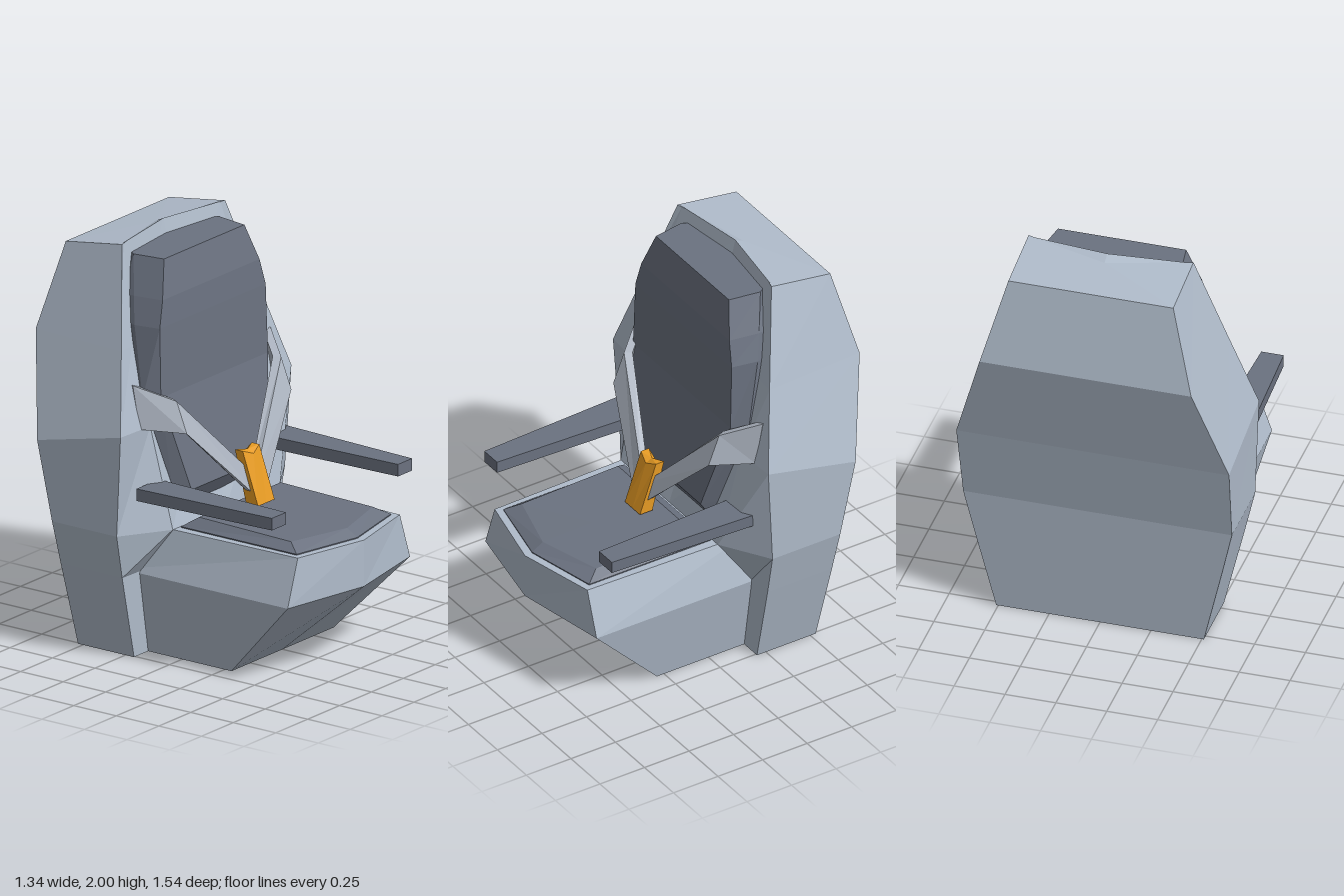
import * as THREE from 'three';

const flat = (color, name) => {
  const m = new THREE.MeshStandardMaterial({ color });
  m.name = name;
  return m;
};

// Faceted solid through rings of equal point count, closed by a fan at each end.
// Rings run counter-clockwise when seen from the last ring.
function loft(name, rings, material) {
  const pos = [];
  const tri = (a, b, c) => pos.push(...a, ...b, ...c);
  const n = rings[0].length;
  const centre = r => [0, 1, 2].map(k => r.reduce((s, p) => s + p[k], 0) / n);
  const first = rings[0], last = rings[rings.length - 1];
  const c0 = centre(first), c1 = centre(last);
  for (let i = 0; i < n; i++) {
    const j = (i + 1) % n;
    for (let r = 0; r < rings.length - 1; r++) {
      const a = rings[r], b = rings[r + 1];
      tri(a[i], a[j], b[j]);
      tri(a[i], b[j], b[i]);
    }
    tri(c0, first[j], first[i]);
    tri(c1, last[i], last[j]);
  }
  const g = new THREE.BufferGeometry();
  g.setAttribute('position', new THREE.Float32BufferAttribute(pos, 3));
  g.computeVertexNormals();
  const mesh = new THREE.Mesh(g, material);
  mesh.name = name;
  return mesh;
}

// Half section (front to back on +x) completed by its mirror image.
const mirrored = half => [
  ...half,
  ...half.filter(p => p[0] > 0).reverse().map(([x, y, z]) => [-x, y, z]),
];

export function createModel() {
  const group = new THREE.Group();
  const shellMat = flat(0xb0bccb, 'pale blue grey');
  const padMat = flat(0x6b7280, 'slate padding');
  const strapMat = flat(0xadb5c1, 'light grey strap');
  const buckleMat = flat(0xe89c24, 'orange buckle');

  // Shell: centre front, inner front, outer front, outer back
  const shell = [
    [[0, 0, -0.2], [0.4, 0, -0.2], [0.51, 0, -0.2], [0.51, 0, -0.53]],
    [[0, 0.42, -0.19], [0.48, 0.42, -0.19], [0.61, 0.42, -0.195], [0.61, 0.42, -0.556]],
    [[0, 0.64, -0.04], [0.42, 0.64, -0.04], [0.66, 0.64, -0.19], [0.66, 0.64, -0.57]],
    [[0, 1.14, -0.2], [0.45, 1.14, -0.15], [0.67, 1.14, -0.16], [0.67, 1.03, -0.65]],
    [[0, 1.52, -0.3], [0.46, 1.52, -0.25], [0.55, 1.52, -0.245], [0.52, 1.52, -0.77]],
    [[0, 2, -0.41], [0.38, 1.99, -0.36], [0.405, 1.99, -0.35], [0.405, 1.94, -0.68]],
  ];
  group.add(loft('shell', shell.map(mirrored), shellMat));

  // Seat base: centre front, front corner, back
  const seat = [
    [[0, 0, 0.29], [0.4, 0, 0.29], [0.4, 0, -0.3]],
    [[0, 0.41, 0.77], [0.48, 0.41, 0.68], [0.48, 0.41, -0.3]],
    [[0, 0.64, 0.77], [0.4, 0.64, 0.68], [0.42, 0.64, -0.2]],
  ];
  group.add(loft('seatBase', seat.map(mirrored), shellMat));

  // Seat cushion with bevelled edge
  const cushion = [
    [[0, 0.63, 0.73], [0.37, 0.63, 0.65], [0.37, 0.63, -0.03]],
    [[0, 0.645, 0.73], [0.37, 0.645, 0.65], [0.37, 0.645, -0.03]],
    [[0, 0.68, 0.67], [0.32, 0.68, 0.58], [0.32, 0.692, 0.04]],
  ];
  group.add(loft('seatCushion', cushion.map(mirrored), padMat));

  // Back cushion: front edge, outer edge, back edge, centre back
  const back = [
    [[0.33, 0.73, -0.07], [0.335, 0.73, -0.08], [0.335, 0.73, -0.3], [0, 0.73, -0.35]],
    [[0.3, 0.81, -0.02], [0.36, 0.84, -0.09], [0.36, 0.81, -0.3], [0, 0.81, -0.35]],
    [[0.42, 1.28, -0.11], [0.47, 1.28, -0.18], [0.46, 1.28, -0.32], [0, 1.28, -0.38]],
    [[0.415, 1.62, -0.12], [0.44, 1.62, -0.25], [0.43, 1.62, -0.33], [0, 1.62, -0.4]],
    [[0.38, 1.75, -0.13], [0.405, 1.75, -0.28], [0.4, 1.75, -0.34], [0, 1.75, -0.4]],
    [[0.315, 1.93, -0.17], [0.34, 1.93, -0.33], [0.32, 1.93, -0.36], [0, 1.93, -0.4]],
  ];
  group.add(loft('backCushion', back.map(mirrored), padMat));

  // Armrests: tapering bars
  for (const s of [1, -1]) {
    const bar = y => {
      const ring = [[0.44, y, 0.64], [0.55, y, 0.64], [0.585, y, -0.13], [0.41, y, -0.13]];
      return s > 0 ? ring : ring.map(([x, h, z]) => [-x, h, z]).reverse();
    };
    group.add(loft(s > 0 ? 'leftArmrest' : 'rightArmrest', [bar(0.81), bar(0.87)], padMat));
  }

  // Harness: one V-shaped band, each station is [offset, low y, low z, high y, high z]
  const cx = 0.02;
  const stations = [
    [0.54, 1.14, -0.16, 1.35, -0.2],
    [0.41, 1.12, 0.02, 1.27, -0.04],
    [0, 0.7, 0.16, 0.82, 0.12],
  ];
  const band = ([d, y0, z0, y1, z1], s) => {
    const x = cx + s * d, xb = cx + s * Math.max(0, d - 0.02);
    return [[x, y0, z0], [xb, y0, z0 - 0.035], [xb, y1, z1 - 0.035], [x, y1, z1]];
  };
  const path = [
    ...stations.map(p => band(p, -1)),
    ...stations.slice(0, 2).reverse().map(p => band(p, 1)),
  ];
  group.add(loft('harness', path, strapMat));

  // Buckle: leaning plate with a notched top
  const plate = y => [
    [cx, y ? 0.93 : 0.7, y ? 0.105 : 0.18],
    [cx + 0.065, y ? 0.955 : 0.7, y ? 0.09 : 0.18],
    [cx + 0.065, y ? 0.955 : 0.7, y ? 0.045 : 0.11],
    [cx, y ? 0.93 : 0.7, y ? 0.05 : 0.11],
    [cx - 0.065, y ? 0.955 : 0.7, y ? 0.045 : 0.11],
    [cx - 0.065, y ? 0.955 : 0.7, y ? 0.09 : 0.18],
  ];
  group.add(loft('buckle', [plate(0), plate(1)], buckleMat));

  return group;
}
